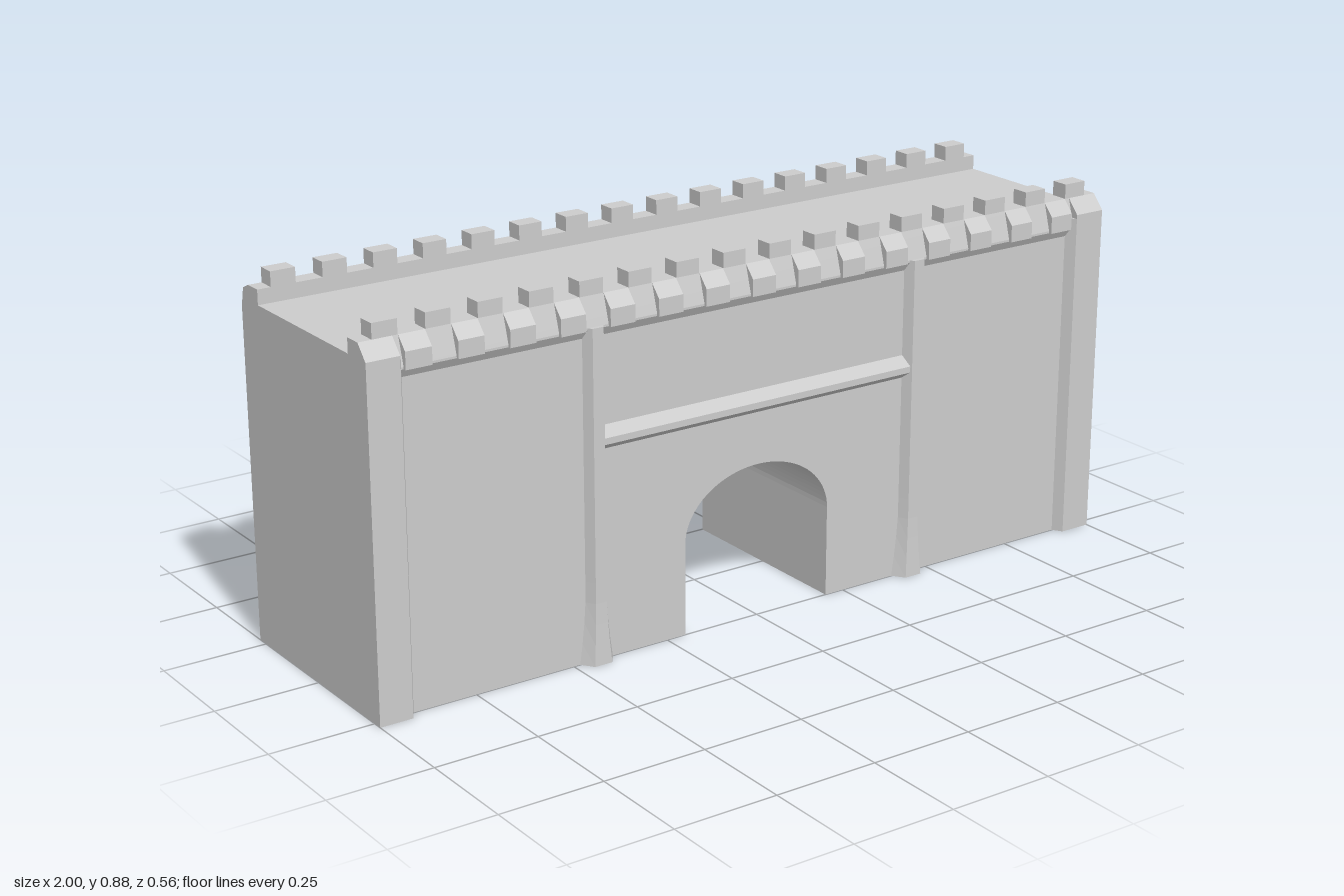
import * as THREE from 'three';

const material = new THREE.MeshStandardMaterial({ color: 0xcccccc, flatShading: true, side: THREE.DoubleSide });
const WALL = 0.25, DECK = 0.81, PARAPET = 0.845;

const shapeOf = (pts) => new THREE.Shape(pts.map(([a, b]) => new THREE.Vector2(a, b)));

// Sweeps a [z, y] profile from x0 to x1
function alongX(pts, x0, x1) {
  const g = new THREE.ExtrudeGeometry(shapeOf(pts), { depth: x1 - x0, bevelEnabled: false });
  return g.rotateY(-Math.PI / 2).translate(x1, 0, 0);
}

// Raises an [x, z] plan from y = 0 to height
function upright(pts, height, steps = 1) {
  const g = new THREE.ExtrudeGeometry(shapeOf(pts.map(([x, z]) => [x, -z])), { depth: height, steps, bevelEnabled: false });
  return g.rotateX(-Math.PI / 2);
}

export function createModel() {
  const model = new THREE.Group();
  model.name = 'gatehouseWall';
  const add = (name, geometry, parent = model) => {
    const mesh = new THREE.Mesh(geometry, material);
    mesh.name = name;
    parent.add(mesh);
    return mesh;
  };
  const group = (name) => {
    const g = new THREE.Group();
    g.name = name;
    model.add(g);
    return g;
  };

  // Wall block with an elliptical-headed passage
  const wall = new THREE.Shape();
  wall.moveTo(-1, 0);
  wall.lineTo(-0.2, 0);
  wall.lineTo(-0.2, 0.22);
  wall.absellipse(0, 0.22, 0.2, 0.15, Math.PI, 0, true);
  wall.lineTo(0.2, 0);
  wall.lineTo(1, 0);
  wall.lineTo(1, DECK);
  wall.lineTo(-1, DECK);
  wall.closePath();
  const wallGeometry = new THREE.ExtrudeGeometry(wall, { depth: 2 * WALL, bevelEnabled: false, curveSegments: 20 });
  add('wall', wallGeometry.translate(0, 0, -WALL));

  // Parapets with overhanging outer faces
  const front = [[0.2, DECK - 0.01], [0.24, 0.755], [WALL, 0.755], [0.262, 0.775], [0.262, 0.78], [0.243, PARAPET], [0.2, PARAPET]];
  add('frontParapet', alongX(front, -0.92, 0.92));
  const back = [[-0.2, DECK - 0.01], [-0.2, PARAPET], [-0.243, PARAPET], [-0.27, 0.82], [-0.27, 0.81], [-WALL, 0.76], [-0.24, 0.76]];
  add('backParapet', alongX(back, -0.92, 0.92));

  // Merlons, and the corbel blocks between those at the front
  const merlons = group('merlons');
  const corbels = group('corbels');
  const corbel = [[0.24, 0.775], [0.27, 0.775], [0.27, 0.815], [0.243, PARAPET], [0.24, PARAPET]];
  for (let i = 0; i < 16; i++) {
    const x = (i - 7.5) * 0.125;
    for (const s of [-1, 1]) {
      add('merlon', new THREE.BoxGeometry(0.06, 0.04, 0.043), merlons).position.set(x, 0.86, s * 0.2215);
    }
    if (i < 15) add('corbel', alongX(corbel, x + 0.031, x + 0.094), corbels);
  }

  // Corner piers, chamfered on the inner edge
  const frontPier = [[0.2, 0], [0.274, 0], [0.274, DECK], [0.243, PARAPET], [0.2, PARAPET]];
  const backPier = [[-0.2, 0], [-0.2, PARAPET], [-0.243, PARAPET], [-0.268, 0.833], [-0.278, 0.79], [-0.278, 0]];
  const piers = group('cornerPiers');
  for (const s of [-1, 1]) {
    const [x0, x1] = s > 0 ? [0.92, 1] : [-1, -0.92];
    add('frontPier', alongX(frontPier, x0, x1), piers);
    add('backPier', alongX(backPier, x0, x1), piers);
    add('frontChamfer', upright([[s * 0.905, 0.249], [s * 0.92, 0.274], [s * 0.92, 0.249]], 0.8), piers);
    add('backChamfer', upright([[s * 0.905, -0.249], [s * 0.92, -0.278], [s * 0.92, -0.249]], 0.81), piers);
  }

  // Slim front buttresses that flare towards the ground
  for (const s of [-1, 1]) {
    const g = upright([[-0.027, 0.24], [-0.027, WALL], [-0.014, 0.272], [0.014, 0.272], [0.027, WALL], [0.027, 0.24]], 0.78, 16);
    const p = g.attributes.position;
    for (let i = 0; i < p.count; i++) {
      const flare = Math.max(0, 1 - p.getY(i) / 0.16) ** 1.5;
      p.setX(i, p.getX(i) * (1 + 0.6 * flare));
      if (p.getZ(i) > 0.26) p.setZ(i, 0.272 + 0.007 * flare);
    }
    g.computeVertexNormals();
    add('buttress', g).position.x = s * 0.44;
  }

  // String course above the gateway
  const course = [[0.24, 0.495], [WALL, 0.495], [0.268, 0.51], [0.268, 0.525], [WALL, 0.55], [0.24, 0.55]];
  add('stringCourse', alongX(course, -0.425, 0.425));

  return model;
}
